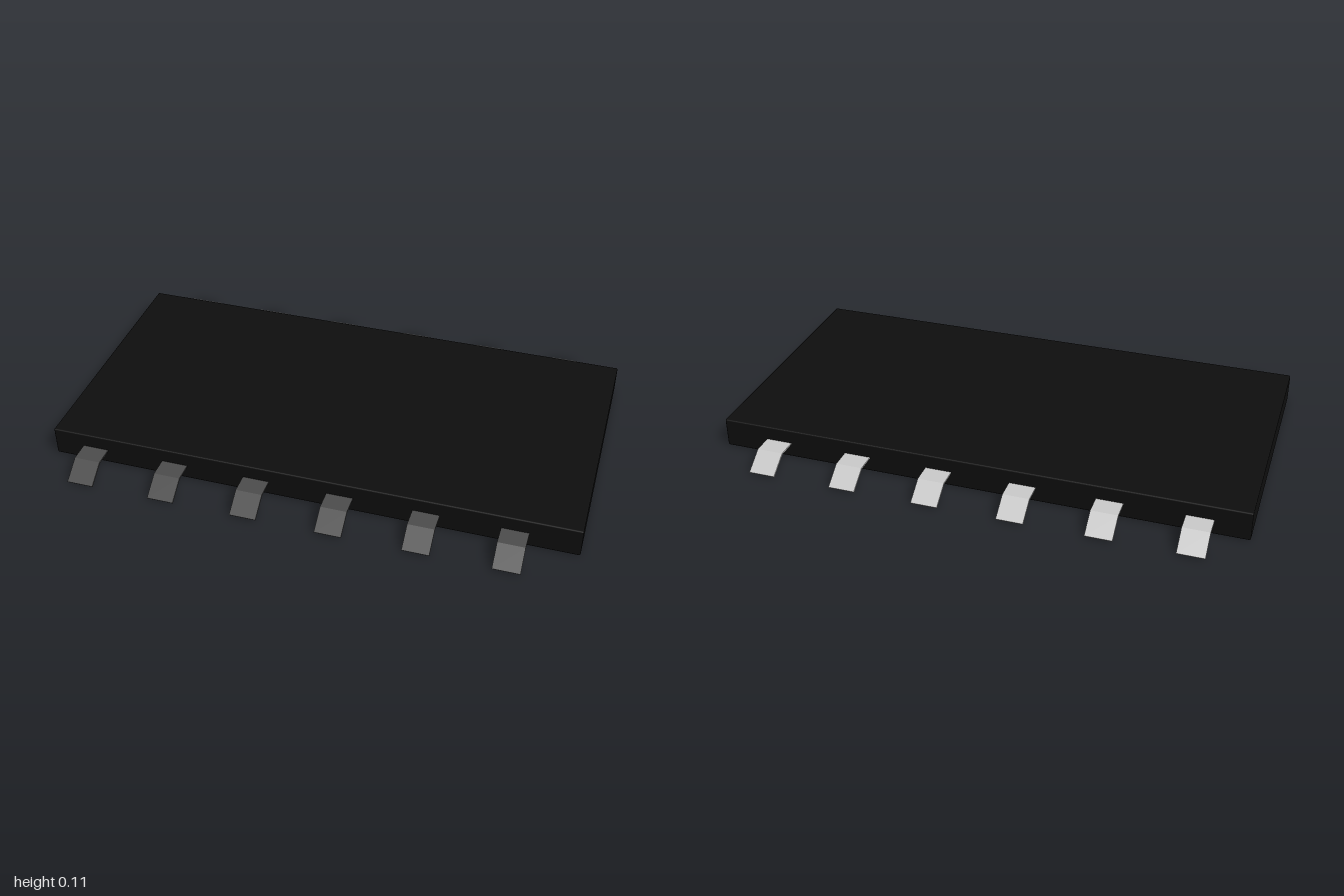
import * as THREE from 'three';
import { RoundedBoxGeometry } from 'three/addons/geometries/RoundedBoxGeometry.js';

const PIN_WIDTH = 0.1;
const PIN_PITCH = 0.32;

// Thin bent strip: flat shoulder out of the body, then a slope down to the foot
function pinGeometry() {
  const profile = new THREE.Shape([
    [0.49, 0.057], [0.572, 0.057], [0.649, 0.004],
    [0.653, 0.009], [0.575, 0.063], [0.49, 0.063],
  ].map(([z, y]) => new THREE.Vector2(z, y)));
  const geometry = new THREE.ExtrudeGeometry(profile, { depth: PIN_WIDTH, bevelEnabled: false });
  return geometry.translate(0, 0, -PIN_WIDTH / 2).rotateY(-Math.PI / 2);
}

// Row of six pins along one long side
function pinRow(name, geometry, color, firstX, turn) {
  const row = new THREE.Group();
  row.name = name;
  const material = new THREE.MeshStandardMaterial({ color });
  for (let i = 0; i < 6; i++) {
    const pin = new THREE.Mesh(geometry, material);
    pin.name = 'pin' + (i + 1);
    pin.position.x = firstX + i * PIN_PITCH;
    pin.rotation.y = turn;
    row.add(pin);
  }
  return row;
}

export function createModel() {
  const model = new THREE.Group();
  model.name = 'chip';

  // Flat black package with slightly eased edges
  const body = new THREE.Mesh(
    new RoundedBoxGeometry(2, 0.112, 1, 1, 0.005),
    new THREE.MeshStandardMaterial({ color: 0x0e0e0e })
  );
  body.name = 'body';
  body.position.y = 0.06;
  model.add(body);

  // Dark pins in front, light pins behind
  const geometry = pinGeometry();
  model.add(pinRow('frontPins', geometry, 0x4d4d4d, -0.833, 0));
  model.add(pinRow('backPins', geometry, 0xcccccc, -0.822, Math.PI));
  return model;
}
